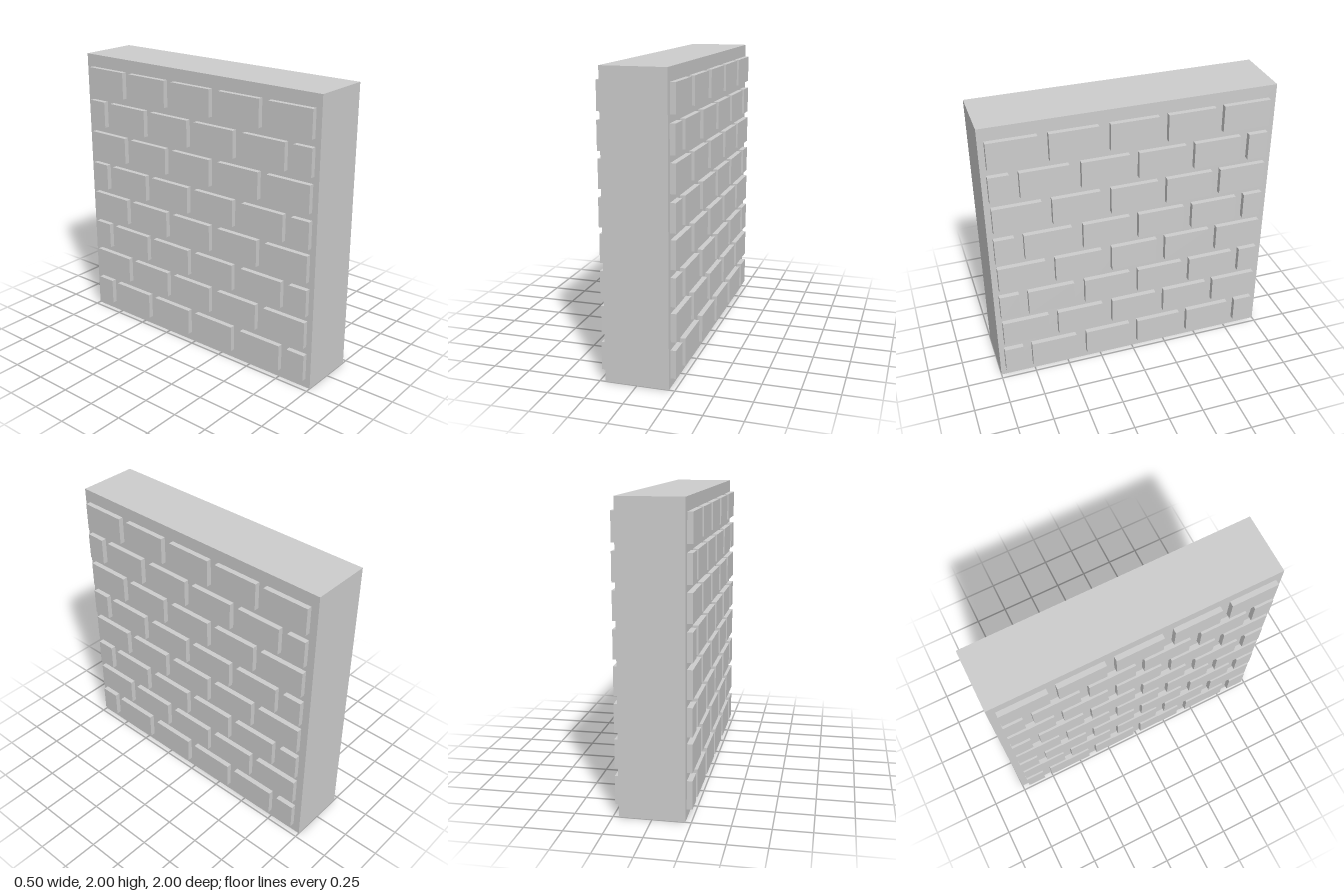
import * as THREE from 'three';

export function createModel() {
  const stone = new THREE.MeshStandardMaterial({ color: 0xcccccc });
  stone.name = 'grey stone';

  const model = new THREE.Group();
  model.name = 'brickWall';

  function addBox(name, parent, size, position) {
    const mesh = new THREE.Mesh(new THREE.BoxGeometry(...size), stone);
    mesh.name = name;
    mesh.position.set(...position);
    parent.add(mesh);
  }

  // Solid slab behind the bricks
  const halfSlab = 0.212;
  addBox('slab', model, [halfSlab * 2, 2, 2], [0, 1, 0]);

  // Brick courses, bottom to top; each brick is [centre z, length]
  const courseHeights = [0.158, 0.399, 0.632, 0.87, 1.102, 1.342, 1.578, 1.818];
  const brickHeight = 0.188;
  const long = 0.328;
  const short = 0.136;
  const fullCourse = [0.795, 0.399, -0.003, -0.395, -0.783].map((z) => [z, long]);
  const offsetCourse = [
    [0.896, short],
    ...[0.601, 0.196, -0.196, -0.587].map((z) => [z, long]),
    [-0.881, short],
  ];

  // Both broad faces carry the same raised bricks, mirrored across x
  const raise = 0.036;
  for (const side of [1, -1]) {
    const face = new THREE.Group();
    face.name = side > 0 ? 'leftBricks' : 'rightBricks';
    courseHeights.forEach((y, i) => {
      const course = i % 2 ? fullCourse : offsetCourse;
      for (const [z, length] of course) {
        addBox('brick', face, [raise, brickHeight, length], [side * (halfSlab + raise / 2), y, z]);
      }
    });
    model.add(face);
  }

  return model;
}
